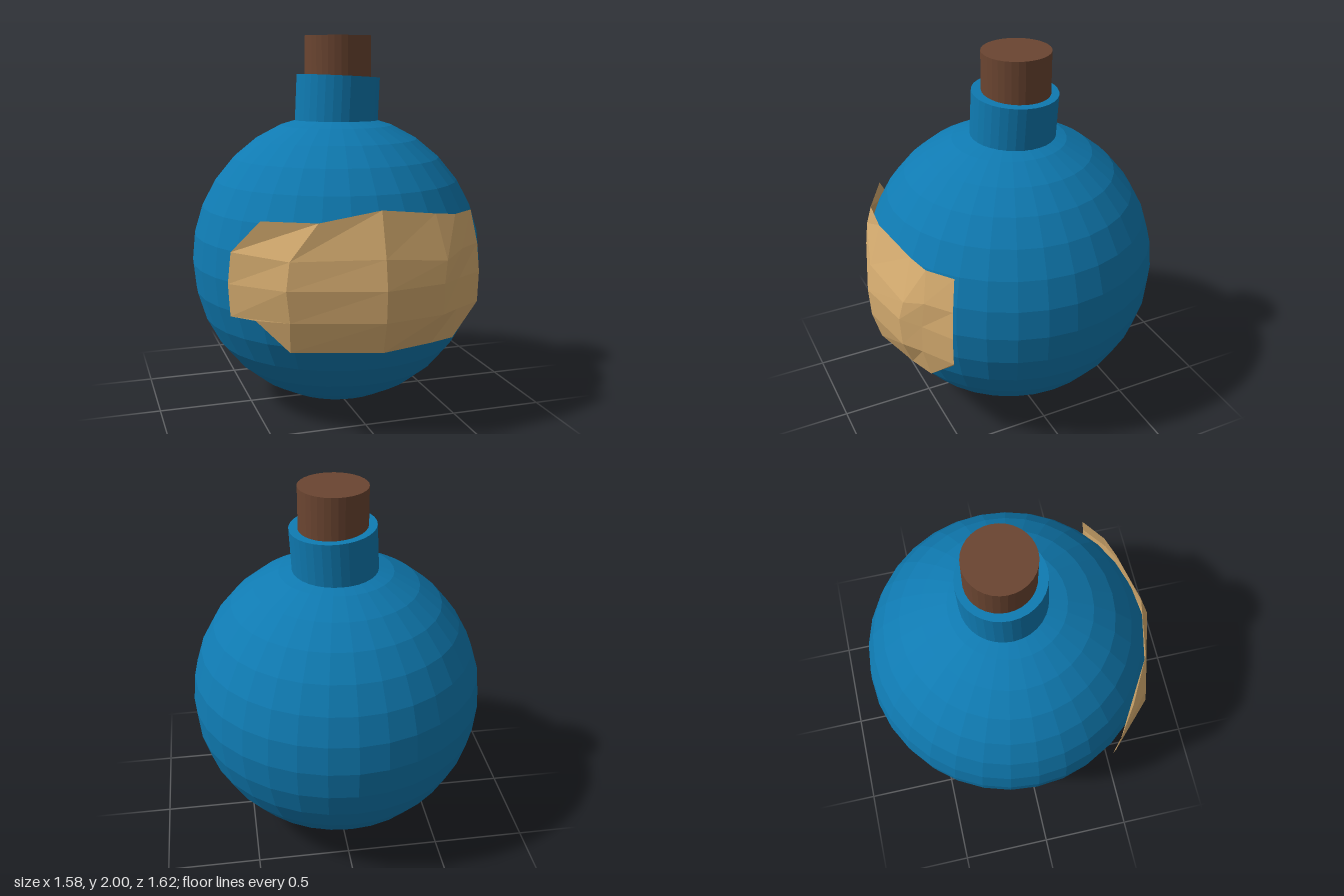
import * as THREE from 'three';

const flat = (name, color, extra = {}) =>
  Object.assign(new THREE.MeshStandardMaterial({ color, flatShading: true, ...extra }), { name });

const blue = flat('blueGlass', 0x0f7ab1);
const brown = flat('corkBrown', 0x6b4531);
const tan = flat('paperTan', 0xd8ae71, { side: THREE.DoubleSide });

function part(group, name, geometry, material, x, y, z) {
  const mesh = new THREE.Mesh(geometry, material);
  mesh.name = name;
  mesh.position.set(x, y, z);
  group.add(mesh);
  return mesh;
}

// Faceted sheet from rows of [x, y, z] points, top row first, left to right
function sheet(rows) {
  const cols = rows[0].length;
  const index = [];
  for (let r = 0; r < rows.length - 1; r++) {
    for (let c = 0; c < cols - 1; c++) {
      const a = r * cols + c, b = a + cols;
      index.push(a, b, a + 1, a + 1, b, b + 1);
    }
  }
  const g = new THREE.BufferGeometry();
  g.setAttribute('position', new THREE.Float32BufferAttribute(rows.flat(2), 3));
  g.setIndex(index);
  const out = g.toNonIndexed();
  out.computeVertexNormals();
  return out;
}

export function createModel() {
  const model = new THREE.Group();
  model.name = 'corkedFlask';

  // Round body
  part(model, 'body', new THREE.SphereGeometry(0.79, 32, 16), blue, 0, 0.795, -0.02);

  // Slightly leaning neck
  const neck = part(model, 'neck', new THREE.CylinderGeometry(0.226, 0.226, 0.36, 32), blue, 0.011, 1.605, -0.039);
  neck.rotation.set(-0.03, 0, -0.055);

  // Cork stopper
  part(model, 'cork', new THREE.CylinderGeometry(0.18, 0.18, 0.3, 32), brown, 0.02, 1.85, -0.05);

  // Crumpled paper label wrapped over the front
  part(model, 'label', sheet([
    [[-0.55, 1.12, 0.535], [-0.3, 1.12, 0.67], [0, 1.175, 0.72], [0.3, 1.135, 0.665], [0.42, 1.12, 0.63], [0.55, 1.12, 0.535]],
    [[-0.68, 0.96, 0.45], [-0.44, 0.94, 0.66], [0, 0.95, 0.785], [0.34, 0.91, 0.73], [0.45, 0.95, 0.66], [0.58, 0.95, 0.56]],
    [[-0.695, 0.8, 0.44], [-0.46, 0.8, 0.67], [0, 0.8, 0.81], [0.32, 0.8, 0.75], [0.43, 0.8, 0.67], [0.59, 0.8, 0.57]],
    [[-0.685, 0.635, 0.44], [-0.44, 0.64, 0.66], [0, 0.64, 0.8], [0.32, 0.64, 0.74], [0.42, 0.64, 0.67], [0.585, 0.64, 0.567]],
    [[-0.58, 0.63, 0.535], [-0.43, 0.48, 0.62], [0, 0.48, 0.755], [0.28, 0.48, 0.68], [0.42, 0.48, 0.63], [0.575, 0.625, 0.562]],
  ]), tan, 0, 0, 0);

  return model;
}
